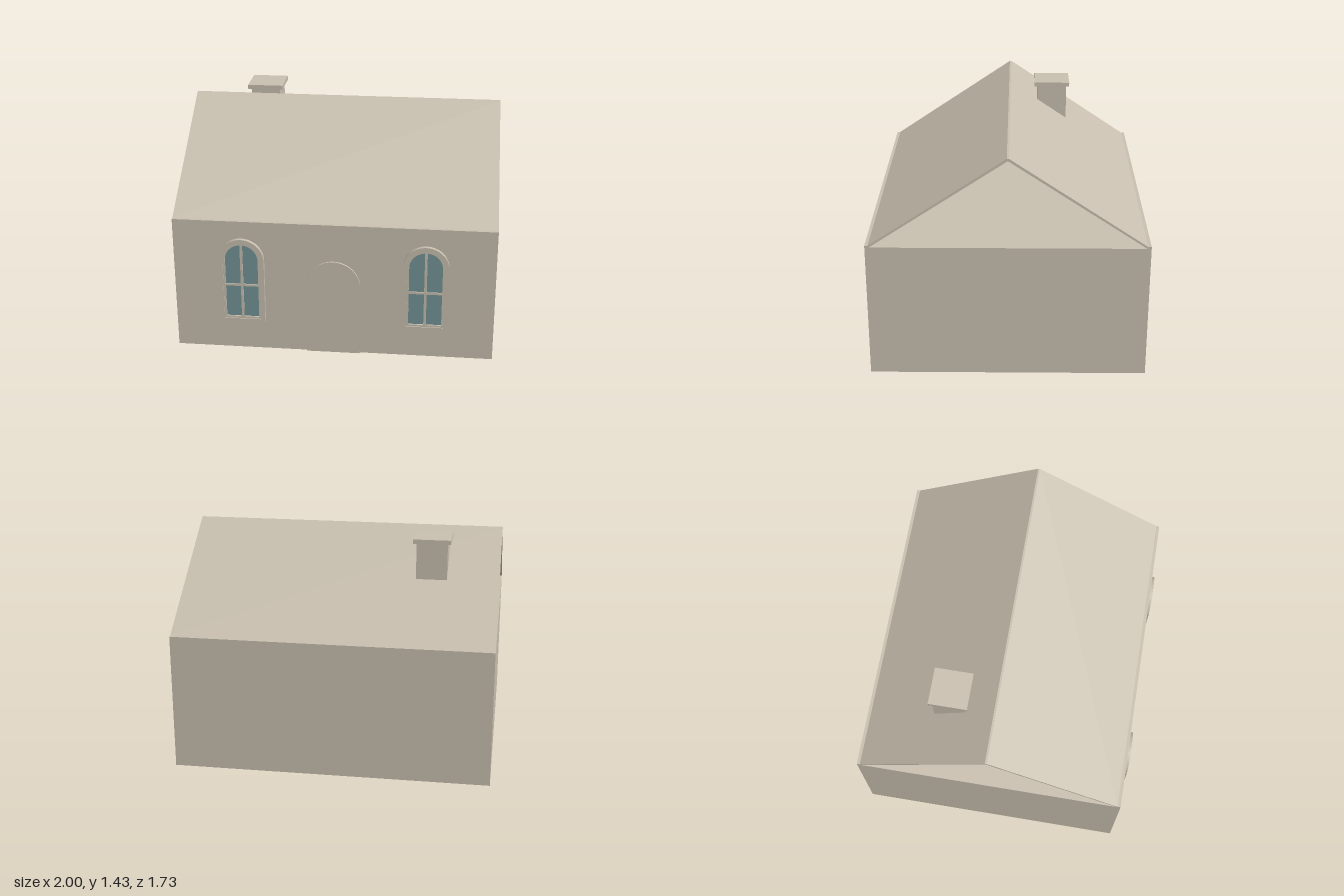
import * as THREE from 'three';

const FRONT = 0.845, BACK = -0.865, EAVES = 0.86, RIDGE = 1.43;
const MID = (FRONT + BACK) / 2;

// Round-headed opening outline, centred on x = cx
function arch(cx, half, bottom, top, Type = THREE.Shape) {
  const s = new Type();
  const spring = top - half;
  s.moveTo(cx - half, bottom);
  s.lineTo(cx + half, bottom);
  s.lineTo(cx + half, spring);
  s.absarc(cx, spring, half, 0, Math.PI, false);
  s.lineTo(cx - half, bottom);
  return s;
}

function archRing(half, bottom, top, inset) {
  const s = arch(0, half, bottom, top);
  s.holes.push(arch(0, half - inset, bottom + inset, top - inset, THREE.Path));
  return s;
}

export function createModel() {
  const house = new THREE.Group();
  house.name = 'house';
  const stone = new THREE.MeshStandardMaterial({ color: 0xc7beae, side: THREE.DoubleSide });
  stone.name = 'warm stone';
  const glass = new THREE.MeshStandardMaterial({ color: 0x739396 });
  glass.name = 'blue glass';

  function add(parent, name, geometry, material = stone, x = 0, y = 0, z = 0) {
    const mesh = new THREE.Mesh(geometry, material);
    mesh.name = name;
    mesh.position.set(x, y, z);
    parent.add(mesh);
    return mesh;
  }
  const box = (w, h, d) => new THREE.BoxGeometry(w, h, d);
  const extrude = (shape, depth) =>
    new THREE.ExtrudeGeometry(shape, { depth, bevelEnabled: false, curveSegments: 24 });

  // Front wall, notched for the door and pierced for the windows
  const wall = new THREE.Shape();
  wall.moveTo(-1, 0);
  wall.lineTo(-0.168, 0);
  wall.lineTo(-0.168, 0.462);
  wall.absarc(0, 0.462, 0.168, Math.PI, 0, true);
  wall.lineTo(0.168, 0);
  wall.lineTo(1, 0);
  wall.lineTo(1, EAVES);
  wall.lineTo(-1, EAVES);
  for (const x of [-0.572, 0.572]) wall.holes.push(arch(x, 0.142, 0.19, 0.76, THREE.Path));
  add(house, 'frontWall', new THREE.ShapeGeometry(wall, 24), stone, 0, 0, FRONT);

  // Remaining walls and ceiling; the underside is open
  const depth = FRONT - BACK;
  add(house, 'backWall', new THREE.PlaneGeometry(2, EAVES), stone, 0, EAVES / 2, BACK).rotation.y = Math.PI;
  for (const side of [-1, 1]) {
    add(house, side > 0 ? 'leftWall' : 'rightWall', new THREE.PlaneGeometry(depth, EAVES),
      stone, side, EAVES / 2, MID).rotation.y = side * Math.PI / 2;
  }
  add(house, 'ceiling', new THREE.PlaneGeometry(2, depth), stone, 0, EAVES, MID).rotation.x = -Math.PI / 2;

  // Thin pitched roof with open gables and small flat eaves
  const half = depth / 2;
  const roof = new THREE.Shape([
    [half, EAVES], [half, EAVES + 0.012], [half - 0.02, EAVES + 0.012], [0.006, RIDGE], [-0.006, RIDGE],
    [-half + 0.02, EAVES + 0.012], [-half, EAVES + 0.012], [-half, EAVES],
    [-half + 0.025, EAVES], [0, RIDGE - 0.015], [half - 0.025, EAVES],
  ].map(([u, v]) => new THREE.Vector2(u, v)));
  const roofGeometry = extrude(roof, 2);
  roofGeometry.translate(0, 0, -1);
  roofGeometry.rotateY(Math.PI / 2);
  add(house, 'roof', roofGeometry, stone, 0, 0, MID);

  // Chimney standing on the ceiling
  const chimney = new THREE.Group();
  chimney.name = 'chimney';
  chimney.position.set(-0.575, 0, -0.3);
  add(chimney, 'chimneyShaft', box(0.195, 0.545, 0.2), stone, 0, EAVES + 0.2725, 0);
  add(chimney, 'chimneyCap', box(0.235, 0.028, 0.24), stone, 0, 1.418, 0);
  house.add(chimney);

  // Door panel
  add(house, 'door', extrude(arch(0, 0.168, 0, 0.63), 0.012), stone, 0, 0, FRONT);

  // Stepped arched windows with cross bars
  for (const side of [-1, 1]) {
    const win = new THREE.Group();
    win.name = side > 0 ? 'leftWindow' : 'rightWindow';
    win.position.set(side * 0.572, 0, FRONT);
    add(win, 'outerFrame', extrude(archRing(0.142, 0.19, 0.76, 0.026), 0.024));
    add(win, 'innerFrame', extrude(archRing(0.116, 0.216, 0.734, 0.013), 0.015), stone, 0, 0, 0.003);
    add(win, 'backing', new THREE.ShapeGeometry(arch(0, 0.116, 0.216, 0.734), 24), stone, 0, 0, 0.004);
    add(win, 'pane', new THREE.ShapeGeometry(arch(0, 0.103, 0.229, 0.721), 24), glass, 0, 0, 0.008);
    add(win, 'uprightBar', box(0.016, 0.492, 0.007), stone, 0, 0.475, 0.0115);
    add(win, 'crossBar', box(0.206, 0.014, 0.007), stone, 0, 0.447, 0.0113);
    house.add(win);
  }

  return house;
}
